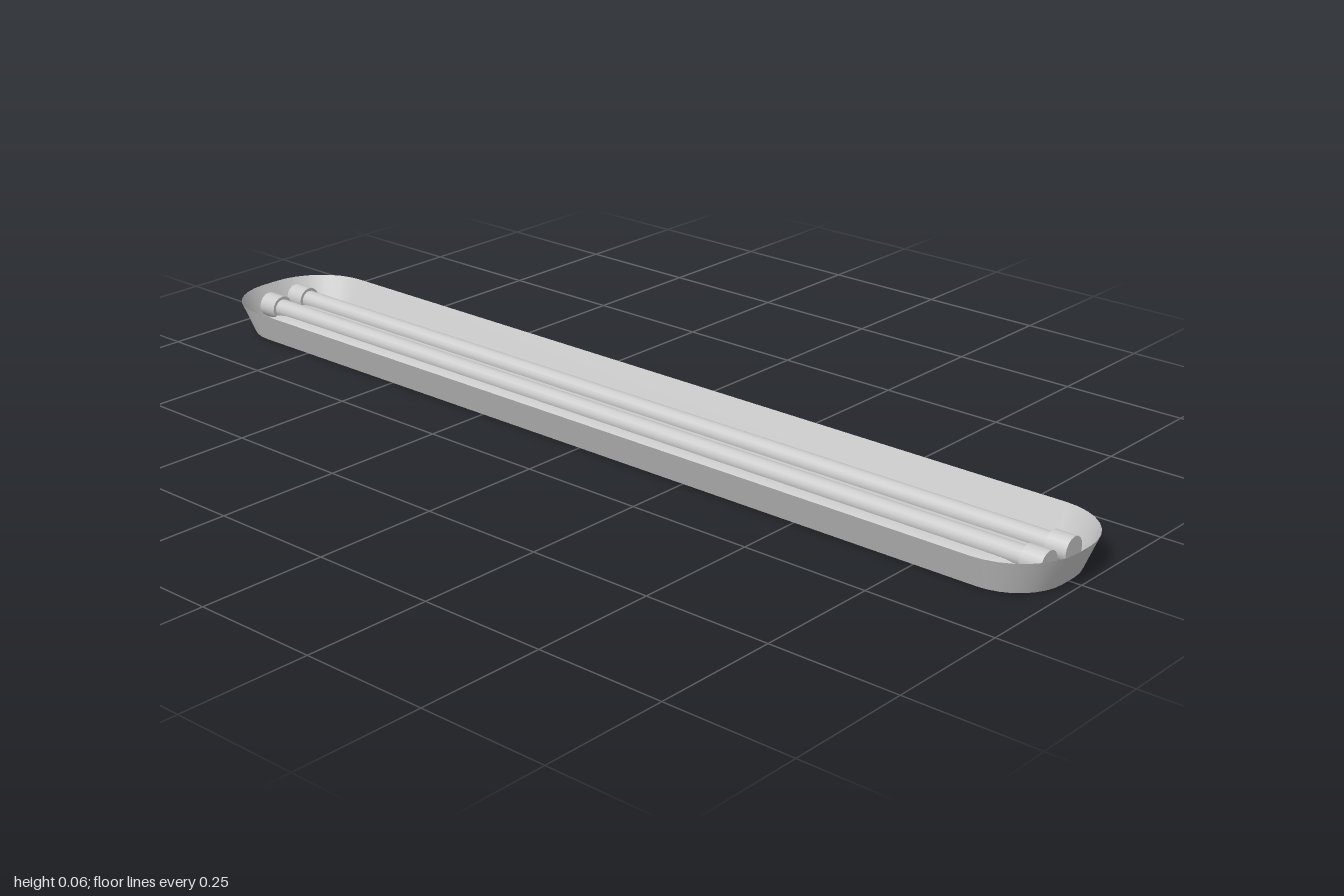
import * as THREE from 'three';

const SEG = 8; // steps per rounded corner

// Rounded-rectangle outline: half length, half width, corner radius, height
function ring([hx, hz, r, y]) {
  const pts = [];
  for (let c = 0; c < 4; c++) {
    const sx = c === 0 || c === 3 ? 1 : -1;
    const sz = c < 2 ? 1 : -1;
    for (let i = 0; i <= SEG; i++) {
      const a = (c + i / SEG) * Math.PI / 2;
      pts.push([sx * (hx - r) + r * Math.cos(a), y, sz * (hz - r) + r * Math.sin(a)]);
    }
  }
  return pts;
}

// Smooth skin through a list of outlines
function loft(sections) {
  const rings = sections.map(ring);
  const n = rings[0].length;
  const index = [];
  for (let k = 0; k < rings.length - 1; k++) {
    for (let i = 0; i < n; i++) {
      const a = k * n + i, b = k * n + (i + 1) % n;
      index.push(a, a + n, b, b, a + n, b + n);
    }
  }
  const geo = new THREE.BufferGeometry();
  geo.setAttribute('position', new THREE.Float32BufferAttribute(rings.flat(2), 3));
  geo.setIndex(index);
  geo.computeVertexNormals();
  return geo;
}

export function createModel() {
  const group = new THREE.Group();
  const metal = new THREE.MeshStandardMaterial({ color: 0xcccccc, side: THREE.DoubleSide });
  const solid = new THREE.MeshStandardMaterial({ color: 0xcccccc });

  function add(name, geo, mat) {
    const mesh = new THREE.Mesh(geo, mat);
    mesh.name = name;
    group.add(mesh);
    return mesh;
  }

  // Flared housing wall and the narrow flange around its base
  add('housingWall', loft([[0.975, 0.117, 0.1, 0], [1, 0.143, 0.125, 0.064]]), metal);
  add('baseFlange', loft([[0.962, 0.105, 0.09, 0.002], [0.975, 0.117, 0.1, 0]]), metal);

  // Raised reflector rising from the flange to a central bed
  add('reflector', loft([
    [0.962, 0.105, 0.09, 0.002],
    [0.95, 0.095, 0.08, 0.014],
    [0.93, 0.08, 0.068, 0.025],
    [0.91, 0.065, 0.055, 0.031],
    [0.88, 0.04, 0.035, 0.033],
    [0.84, 0, 0, 0.033],
  ].reverse()), metal);

  // Two lamp tubes with a socket at each end
  const tubeGeo = new THREE.CylinderGeometry(0.019, 0.019, 1.86, 16).rotateZ(Math.PI / 2);
  const socketGeo = new THREE.CylinderGeometry(0.025, 0.025, 0.042, 16).rotateZ(Math.PI / 2);
  for (const z of [-0.037, 0.037]) {
    add('lampTube', tubeGeo, solid).position.set(0, 0.037, z);
    for (const x of [-0.938, 0.938]) {
      add('lampSocket', socketGeo, solid).position.set(x, 0.037, z);
    }
  }
  return group;
}
